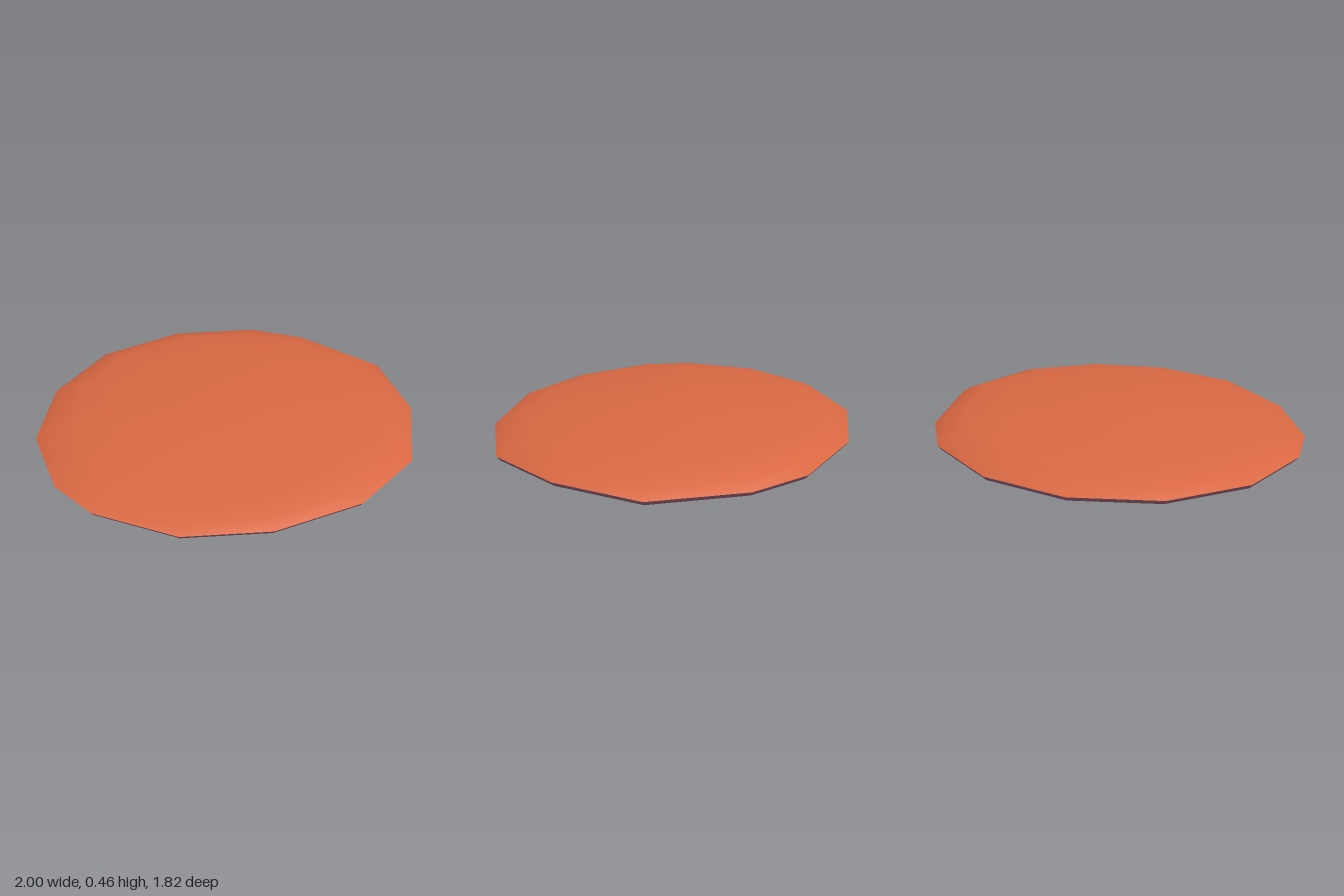
import * as THREE from 'three';

// Irregular rim of the cap: x, z, and a small lift, counter-clockwise from above
const RIM = [
  [-1, 0.05, 0], [-0.93, 0.32, 0], [-0.66, 0.67, 0], [-0.28, 0.87, 0.012], [0.19, 0.91, 0.003],
  [0.6, 0.77, -0.003], [0.88, 0.42, 0.01], [1, -0.02, 0], [0.82, -0.48, -0.004], [0.6, -0.72, -0.002],
  [0.17, -0.91, 0.004], [-0.28, -0.91, 0.008], [-0.67, -0.71, 0.002], [-0.93, -0.36, 0],
];

// Skins scaled copies of the rim; each ring is [scale, height, bulge towards the back left]
function skinRings(rings) {
  const n = RIM.length, pos = [], index = [];
  const id = (i, j) => i * n + (rings[i][0] === 0 ? 0 : j % n);
  for (const [s, y, bulge] of rings) {
    for (const [x, z, lift] of RIM) {
      pos.push(x * s, y + lift * s * s + bulge * (x - z), z * s);
    }
  }
  for (let i = 0; i < rings.length - 1; i++) {
    for (let j = 0; j < n; j++) {
      const a = id(i, j), b = id(i, j + 1), c = id(i + 1, j), d = id(i + 1, j + 1);
      if (a !== b) index.push(a, b, d);
      if (c !== d) index.push(a, d, c);
    }
  }
  const geo = new THREE.BufferGeometry();
  geo.setAttribute('position', new THREE.Float32BufferAttribute(pos, 3));
  geo.setIndex(index);
  geo.computeVertexNormals();
  return geo;
}

export function createModel() {
  const group = new THREE.Group();
  const orange = new THREE.MeshStandardMaterial({ name: 'capOrange', color: 0xd96843 });
  const mauve = new THREE.MeshStandardMaterial({ name: 'stemMauve', color: 0x9c6678, side: THREE.DoubleSide });

  const add = (name, geo, mat) => {
    const mesh = new THREE.Mesh(geo, mat);
    mesh.name = name;
    group.add(mesh);
    return mesh;
  };

  // Shallow domed cap
  add('capTop', skinRings([
    [1, 0.335, 0], [0.945, 0.367, 0.004], [0.82, 0.403, 0.009],
    [0.6, 0.425, 0.006], [0.3, 0.448, 0], [0, 0.457, 0],
  ]), orange);

  // Underside with a thin bevelled lip
  add('capUnderside', skinRings([
    [0, 0.332, 0], [0.94, 0.318, 0], [0.98, 0.311, 0], [1, 0.335, 0],
  ]), mauve);

  // Tapered stem, open at the foot
  const profile = [[0.075, 0], [0.108, 0.018], [0.122, 0.06], [0.08, 0.32], [0.076, 0.35]]
    .map(([r, y]) => new THREE.Vector2(r, y));
  add('stem', new THREE.LatheGeometry(profile, 10), mauve).position.set(0.004, 0, -0.012);

  return group;
}
